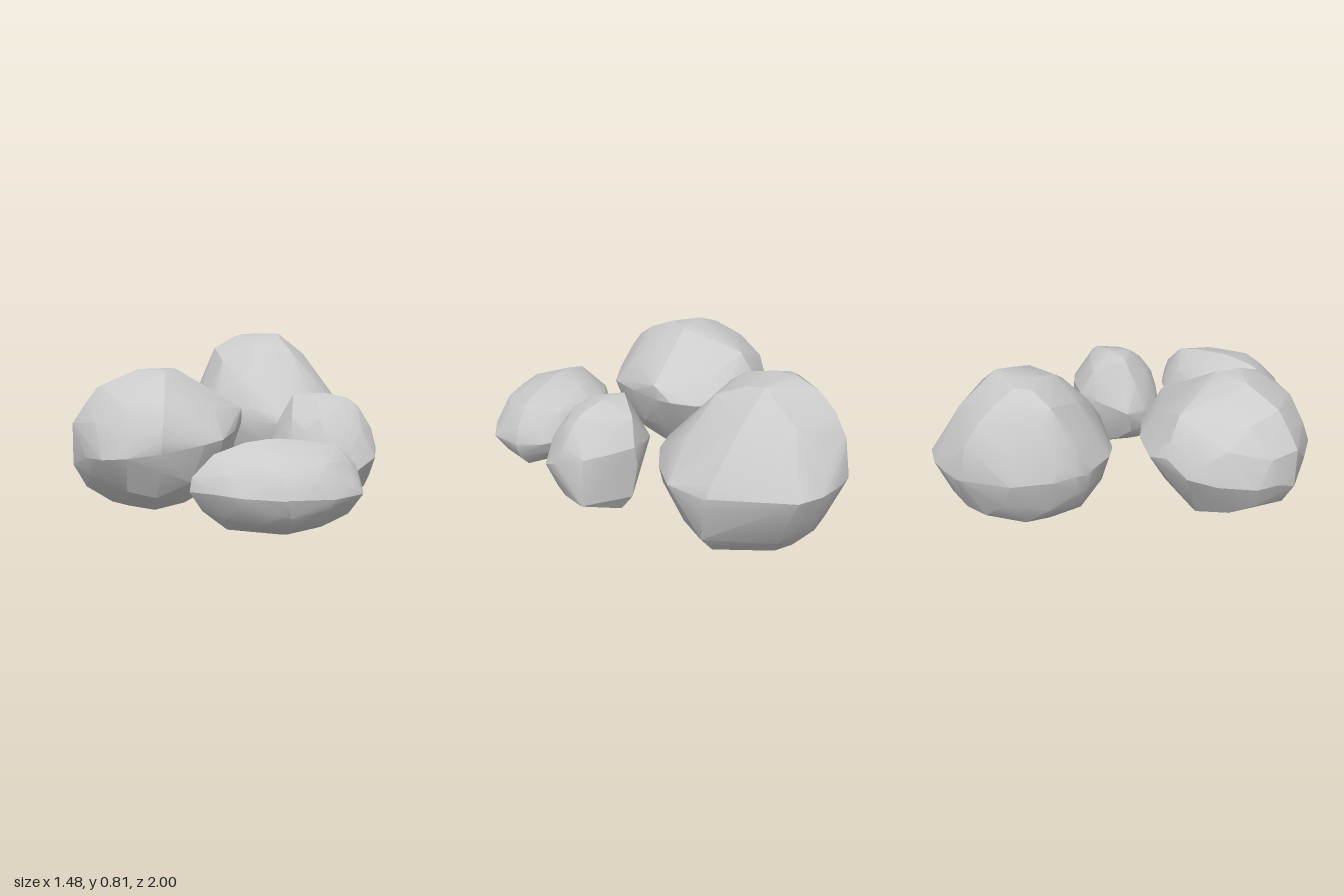
import * as THREE from 'three';
import { ConvexGeometry } from 'three/addons/geometries/ConvexGeometry.js';
import { toCreasedNormals } from 'three/addons/utils/BufferGeometryUtils.js';

// Axis pairs of the three outlines that shape a rock
const AXES = [[0, 1], [2, 1], [0, 2]]; // front (x,y), side (z,y), top (x,z)

const pairs = (flat) => {
  const out = [];
  for (let i = 0; i < flat.length; i += 2) out.push([flat[i], flat[i + 1]]);
  return out;
};

// How far a direction reaches relative to a closed 2D outline (1 = on it)
function gauge(outline, cu, cv, u, v) {
  let g = 0;
  outline.forEach(([au, av], i) => {
    const [bu, bv] = outline[(i + 1) % outline.length];
    const nu = bv - av, nv = au - bu;
    const h = nu * (au - cu) + nv * (av - cv);
    if (Math.abs(h) > 1e-6) g = Math.max(g, (nu * u + nv * v) / h);
  });
  return g;
}

// Faceted rock: hull of its three outlines plus rounded filling between them
function rock(name, { front, side, top, extra = [] }) {
  const outlines = [front, side, top].map(pairs);
  const range = (outline, c) => {
    const vals = outline.map((p) => p[c]);
    return [Math.min(...vals), Math.max(...vals)];
  };
  const limits = [range(outlines[0], 0), range(outlines[0], 1), range(outlines[2], 1)];
  const centre = limits.map(([a, b]) => (a + b) / 2);

  // Tilt of axis k along axis u, taken where the outline of (u,k) is widest
  const slope = (u, k) => {
    const i = AXES.findIndex((a) => a.includes(u) && a.includes(k));
    const cu = AXES[i].indexOf(u);
    const [lo, hi] = range(outlines[i], cu);
    const at = (e) => {
      const near = outlines[i].filter((p) => Math.abs(p[cu] - e) < 0.015);
      return near.reduce((s, p) => s + p[1 - cu], 0) / near.length;
    };
    return (at(hi) - at(lo)) / (hi - lo);
  };

  const points = pairs(extra).length ? [new THREE.Vector3(...extra)] : [];
  outlines.forEach((outline, i) => {
    const [u, v] = AXES[i];
    const k = 3 - u - v;
    const su = slope(u, k), sv = slope(v, k);
    for (const [a, b] of outline) {
      const p = [0, 0, 0];
      p[u] = a;
      p[v] = b;
      p[k] = centre[k] + su * (a - centre[u]) + sv * (b - centre[v]);
      points.push(new THREE.Vector3(...p));
    }
  });

  // Rounded filling, spread evenly over all directions
  const count = 64;
  for (let n = 0; n < count; n++) {
    const y = 1 - (2 * n + 1) / count, r = Math.sqrt(1 - y * y), t = n * 2.39996;
    const d = [r * Math.cos(t), y, r * Math.sin(t)];
    const g = AXES.map(([u, v], i) => gauge(outlines[i], centre[u], centre[v], d[u], d[v]));
    const reach = 0.98 / Math.max(...g, Math.hypot(...g) / Math.SQRT2);
    points.push(new THREE.Vector3(...d.map((c, k) => centre[k] + c * reach)));
  }

  const geometry = toCreasedNormals(new ConvexGeometry(points), 0.42);
  const mesh = new THREE.Mesh(geometry, new THREE.MeshStandardMaterial({ color: 0xcccccc }));
  mesh.name = name;
  return mesh;
}

export function createModel() {
  const group = new THREE.Group();
  group.name = 'rocks';

  // Broad rock on the -x side
  group.add(rock('broadRock', {
    front: [-0.74, 0.47, -0.74, 0.27, -0.68, 0.16, -0.56, 0.08, -0.48, 0.055, -0.31, 0.05, -0.13, 0.1,
      0.0, 0.27, 0.07, 0.46, 0.075, 0.52, -0.11, 0.62, -0.25, 0.72, -0.43, 0.72, -0.62, 0.64, -0.68, 0.56],
    side: [0.58, 0.44, 0.56, 0.52, 0.5, 0.6, 0.42, 0.66, 0.28, 0.72, 0.16, 0.72, 0.02, 0.67, -0.14, 0.63,
      -0.21, 0.52, -0.24, 0.44, -0.18, 0.29, -0.07, 0.07, 0.2, 0.05, 0.33, 0.07, 0.47, 0.16, 0.55, 0.3],
    top: [-0.43, -0.23, -0.2, -0.24, -0.07, -0.17, 0.03, -0.05, 0.07, 0.05, 0.075, 0.13, 0.02, 0.31, -0.06, 0.48,
      -0.15, 0.53, -0.35, 0.58, -0.5, 0.55, -0.61, 0.48, -0.68, 0.35, -0.73, 0.21, -0.73, 0.08, -0.69, -0.03, -0.56, -0.16],
  }));

  // Tallest rock at the back
  group.add(rock('tallRock', {
    front: [-0.09, 0.4, -0.07, 0.5, -0.03, 0.59, 0.04, 0.74, 0.15, 0.8, 0.21, 0.81, 0.4, 0.815, 0.54, 0.7,
      0.64, 0.54, 0.71, 0.46, 0.735, 0.39, 0.72, 0.3, 0.67, 0.15, 0.52, 0.01, 0.45, 0, 0.18, 0.03, 0.02, 0.14, -0.07, 0.3],
    side: [-0.11, 0.42, -0.11, 0.33, -0.14, 0.21, -0.2, 0.13, -0.41, 0.005, -0.5, 0.005, -0.73, 0.04, -0.81, 0.09,
      -0.9, 0.18, -1, 0.41, -0.97, 0.6, -0.9, 0.7, -0.81, 0.77, -0.7, 0.81, -0.58, 0.81, -0.45, 0.78, -0.385, 0.73, -0.22, 0.54],
    top: [-0.09, -0.51, -0.085, -0.6, -0.05, -0.72, 0.06, -0.88, 0.27, -1, 0.39, -1, 0.49, -0.98, 0.59, -0.92, 0.6, -0.83,
      0.735, -0.555, 0.7, -0.34, 0.57, -0.21, 0.41, -0.11, 0.31, -0.11, 0.14, -0.21, -0.01, -0.3, -0.06, -0.37],
  }));

  // Small upright rock on the +x side, with a low spur
  group.add(rock('smallRock', {
    front: [0.21, 0.33, 0.26, 0.46, 0.33, 0.58, 0.48, 0.59, 0.59, 0.565, 0.64, 0.525, 0.7, 0.42, 0.71, 0.28,
      0.66, 0.14, 0.54, 0.04, 0.42, 0.05, 0.3, 0.11, 0.22, 0.22],
    side: [0.19, 0.59, 0.27, 0.57, 0.35, 0.5, 0.42, 0.35, 0.44, 0.24, 0.44, 0.15, 0.35, 0.085, 0.235, 0.04,
      0.05, 0.06, -0.01, 0.14, -0.03, 0.3, -0.02, 0.42, 0.02, 0.53, 0.12, 0.58],
    top: [0.21, 0.21, 0.235, 0.29, 0.33, 0.39, 0.465, 0.44, 0.6, 0.42, 0.69, 0.35, 0.715, 0.265, 0.7, 0.12,
      0.62, 0.04, 0.5, -0.03, 0.4, -0.015, 0.31, 0.05, 0.24, 0.06, 0.215, 0.14],
    extra: [0.725, 0.155, 0.12],
  }));

  // Long low rock at the front
  group.add(rock('longRock', {
    front: [-0.245, 0.257, -0.235, 0.32, -0.14, 0.415, 0, 0.46, 0.15, 0.47, 0.32, 0.45, 0.43, 0.42, 0.51, 0.33,
      0.535, 0.257, 0.51, 0.17, 0.435, 0.095, 0.33, 0.06, 0.16, 0.04, -0.08, 0.08, -0.19, 0.17],
    side: [0.995, 0.257, 0.96, 0.35, 0.88, 0.43, 0.73, 0.47, 0.58, 0.43, 0.5, 0.36, 0.46, 0.26, 0.48, 0.16,
      0.59, 0.085, 0.73, 0.04, 0.89, 0.1, 0.96, 0.17],
    top: [-0.24, 0.78, -0.21, 0.66, -0.06, 0.51, 0.14, 0.455, 0.39, 0.51, 0.465, 0.57, 0.535, 0.67, 0.5, 0.84,
      0.35, 0.95, 0.14, 0.995, -0.05, 0.95, -0.15, 0.88],
  }));

  return group;
}
